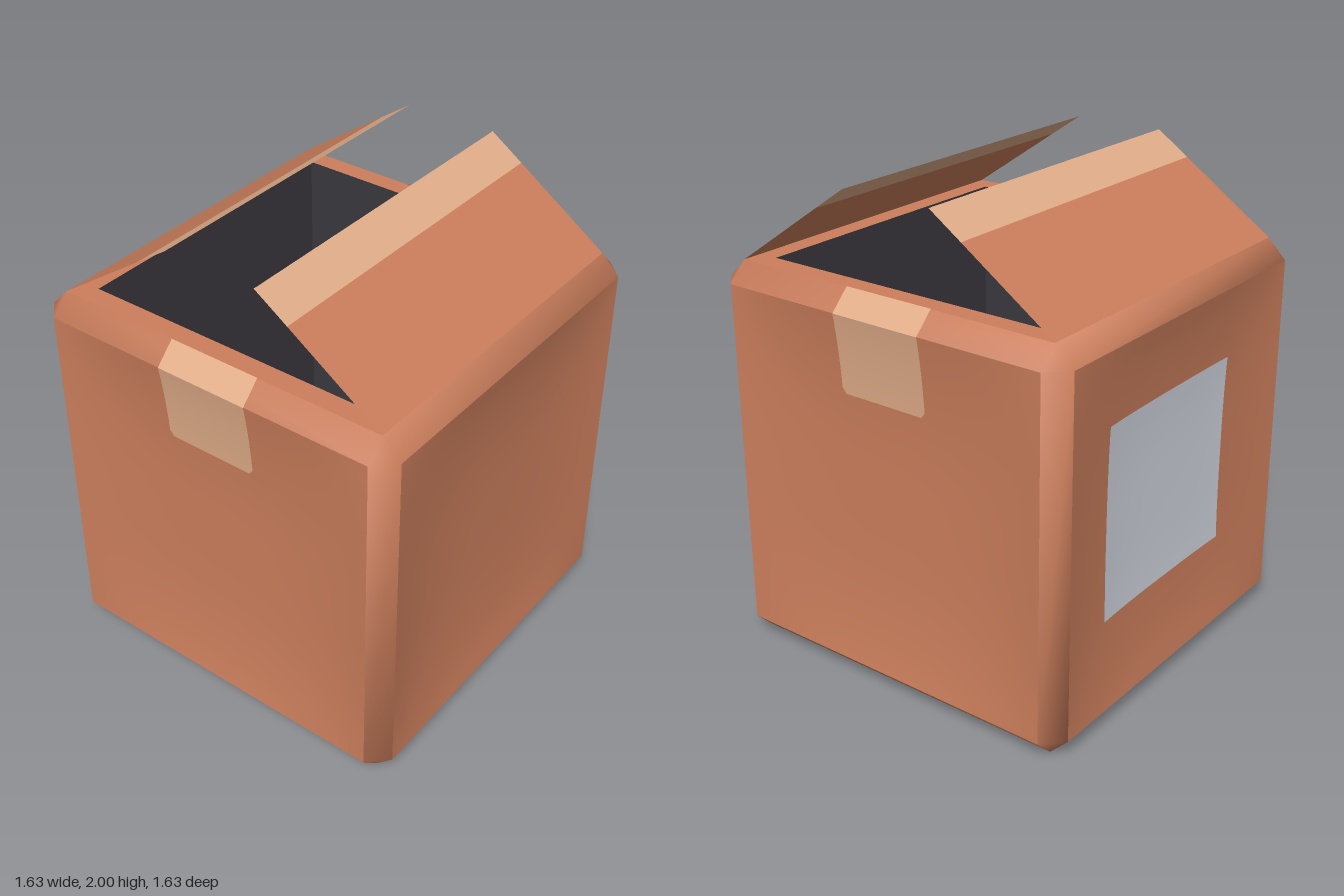
import * as THREE from 'three';

const W = 0.815, H = 1.635, C = 0.08;      // half width, height, chamfer
const I = W - C, OPEN = 0.651, TAPE = 0.2; // panel half width, opening, tape half width
const MID = H / 2, DENT = 0.045, LIFT = 0.002;

// How far the slightly sunken side panels lie behind their border
const dent = (x, y) =>
  DENT * (1 - Math.abs(x / I) ** 3) * (1 - Math.abs((y - MID) / (MID - C)) ** 3);

export function createModel() {
  const group = new THREE.Group();
  const mat = (name, color) =>
    new THREE.MeshStandardMaterial({ name, color, side: THREE.DoubleSide });
  const card = mat('cardboard', 0xcb7e5c);
  const tape = mat('tape', 0xe2ad89);
  const label = mat('label', 0xd2d5df);
  const dark = mat('interior', 0x3a383d);

  const add = (name, geometry, material, parent = group) => {
    const mesh = new THREE.Mesh(geometry, material);
    mesh.name = name;
    parent.add(mesh);
    return mesh;
  };

  // Flat four-cornered face
  const quad = (...points) => {
    const g = new THREE.BufferGeometry();
    g.setAttribute('position', new THREE.Float32BufferAttribute(points.flat(), 3));
    g.setIndex([0, 1, 2, 0, 2, 3]);
    g.computeVertexNormals();
    return g;
  };

  // Rectangle that follows the sunken panel surface; its lower corners can be clipped
  const plate = (x0, y0, x1, y1, segments, lift, clip = 0) => {
    const g = new THREE.PlaneGeometry(x1 - x0, y1 - y0, segments, segments);
    g.translate((x0 + x1) / 2, (y0 + y1) / 2, 0);
    const p = g.attributes.position;
    for (const i of [p.count - segments - 1, p.count - 1])
      p.setX(i, p.getX(i) - Math.sign(p.getX(i)) * clip);
    for (let i = 0; i < p.count; i++)
      p.setZ(i, W + lift - dent(p.getX(i), p.getY(i)));
    g.computeVertexNormals();
    return g;
  };

  // Four side panels and the base
  ['frontPanel', 'leftPanel', 'backPanel', 'rightPanel'].forEach((name, i) =>
    add(name, plate(-I, C, I, H - C, 24, 0).rotateY(i * Math.PI / 2), card));
  add('base', new THREE.PlaneGeometry(2 * I, 2 * I).rotateX(Math.PI / 2), card);

  // Chamfered edges and corners, smooth along their length
  const half = [W, MID, W];
  const positions = [];
  for (let axis = 0; axis < 3; axis++)
    for (let bits = 0; bits < 8; bits++)
      for (let k = 0; k < 3; k++)
        positions.push((bits >> k & 1 ? 1 : -1) * (half[k] - (k === axis ? 0 : C)));
  const at = i => new THREE.Vector3().fromArray(positions, i * 3);
  const index = [];
  const tri = (a, b, c) => {
    const [p, q, r] = [at(a), at(b), at(c)];
    const n = q.clone().sub(p).cross(r.clone().sub(p));
    index.push(...(n.dot(p) > 0 ? [a, b, c] : [a, c, b]));
  };
  for (let bits = 0; bits < 8; bits++) {
    tri(bits, 8 + bits, 16 + bits);
    for (let k = 0; k < 3; k++) {
      if (bits >> k & 1) continue;
      const a = (k + 1) % 3 * 8 + bits, b = (k + 2) % 3 * 8 + bits, step = 1 << k;
      tri(a, b, b + step);
      tri(a, b + step, a + step);
    }
  }
  const chamfer = new THREE.BufferGeometry();
  chamfer.setAttribute('position', new THREE.Float32BufferAttribute(positions, 3));
  chamfer.setIndex(index);
  chamfer.computeVertexNormals();
  add('chamferedEdges', chamfer.translate(0, MID, 0), card);

  // Top rim around the opening
  const square = r => [[-r, -r], [r, -r], [r, r], [-r, r]].map(p => new THREE.Vector2(...p));
  const rim = new THREE.Shape(square(I));
  rim.holes.push(new THREE.Path(square(OPEN)));
  add('rim', new THREE.ShapeGeometry(rim).rotateX(-Math.PI / 2).translate(0, H, 0), card);

  // Open-topped hollow
  const hollow = new THREE.BoxGeometry(2 * OPEN, H - C, 2 * OPEN);
  hollow.translate(0, (H + C) / 2, 0);
  const faces = Array.from(hollow.index.array);
  faces.splice(12, 6);
  hollow.clearGroups();
  hollow.setIndex(faces);
  add('interior', hollow, dark);

  // Two raised flaps with tape along their free edges
  for (const s of [1, -1]) {
    const flap = new THREE.Group();
    flap.name = s > 0 ? 'leftFlap' : 'rightFlap';
    group.add(flap);
    const strip = (x0, y0, x1, y1) =>
      quad([s * x0, y0, s * I], [s * x0, y0, -s * I], [s * x1, y1, -s * I], [s * x1, y1, s * I]);
    add('flapBoard', strip(I, H, 0.34, 1.905), card, flap);
    add('flapTape', strip(0.34, 1.905, TAPE, 2), tape, flap);
  }

  // Tape ends folded over the front and back edges
  for (const [name, turn] of [['frontTape', 0], ['backTape', Math.PI]]) {
    const end = new THREE.Group();
    end.name = name;
    end.rotation.y = turn;
    group.add(end);
    const y = H - C;
    add('tapeEnd', plate(-TAPE, 1.23, TAPE, y, 14, LIFT, 0.018), tape, end);
    add('tapeFold', quad([-TAPE, y, W + LIFT], [TAPE, y, W + LIFT],
      [TAPE, H + LIFT, I], [-TAPE, H + LIFT, I]), tape, end);
  }

  // Square label on the right side
  add('label', plate(-0.47, 0.45, 0.36, 1.25, 16, LIFT).rotateY(-Math.PI / 2), label);

  return group;
}
